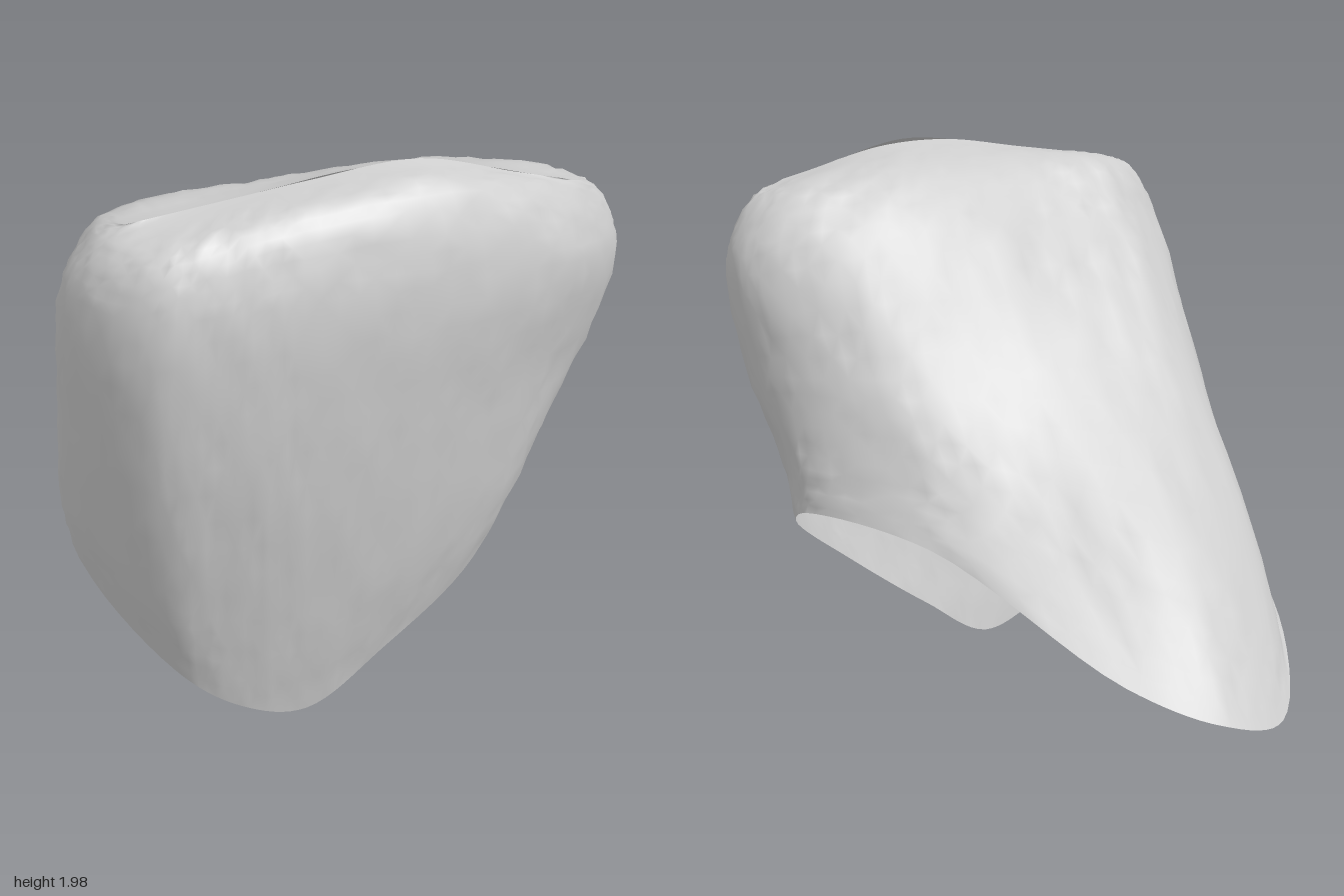
import * as THREE from 'three';

// Cross-section loops of the shell, counter-clockwise from the front centre: [x, y, z]
const RIM = [
  [-0.08, 0, 0.67], [0.18, 0.17, 0.56], [0.5, 0.43, 0.38], [0.71, 0.69, 0.0], [0.68, 0.75, -0.12], [0.3, 0.68, -0.4],
  [-0.22, 0.37, -0.92], [-0.5, 0.26, -1.0], [-0.75, 0.2, -0.87], [-0.91, 0.41, -0.36], [-0.87, 0.5, 0.43],
  [-0.52, 0.24, 0.74], [-0.3, 0.08, 0.745],
];
const WAIST = [
  [-0.07, 0.5, 0.77], [0.27, 0.6, 0.63], [0.6, 0.75, 0.41], [0.745, 0.88, 0.07], [0.67, 0.9, -0.11], [0.3, 0.85, -0.3],
  [-0.1, 0.75, -0.46], [-0.5, 0.6, -0.65], [-0.83, 0.54, -0.45], [-0.88, 0.7, 0.12], [-0.88, 0.75, 0.52],
  [-0.52, 0.6, 0.845], [-0.3, 0.53, 0.83],
];
const CHEST = [
  [-0.07, 1.2, 0.87], [0.3, 1.2, 0.7], [0.68, 1.2, 0.43], [0.855, 1.2, 0.16], [0.71, 1.2, -0.04], [0.4, 1.2, -0.15],
  [0.0, 1.2, -0.11], [-0.4, 1.2, 0.0], [-0.72, 1.2, 0.15], [-0.84, 1.2, 0.4], [-0.81, 1.2, 0.7],
  [-0.5, 1.2, 0.965], [-0.28, 1.2, 0.94],
];
const SHOULDER = [
  [-0.07, 1.7, 0.88], [0.35, 1.67, 0.7], [0.75, 1.62, 0.45], [0.91, 1.58, 0.22], [0.81, 1.6, 0.08], [0.45, 1.66, 0.05],
  [0.1, 1.68, 0.16], [-0.3, 1.68, 0.35], [-0.62, 1.68, 0.5], [-0.765, 1.68, 0.67], [-0.73, 1.7, 0.83],
  [-0.49, 1.7, 0.99], [-0.29, 1.7, 0.96],
];
const CROWN = [
  [-0.07, 1.91, 0.79], [0.3, 1.92, 0.63], [0.65, 1.84, 0.41], [0.83, 1.77, 0.25], [0.72, 1.8, 0.18], [0.4, 1.86, 0.24],
  [0.1, 1.9, 0.38], [-0.25, 1.91, 0.53], [-0.52, 1.9, 0.62], [-0.66, 1.87, 0.7], [-0.63, 1.86, 0.83],
  [-0.45, 1.86, 0.92], [-0.27, 1.89, 0.87],
];

// The top closes on a gently arched ridge line
const RIDGE = CROWN.map(([x0]) => {
  const x = x0 * 0.85;
  const drop = x < 0.22 ? 0.1 * (0.22 - x) : 0.3 * (x - 0.22);
  return [x, 1.99 - drop, 0.61 - 0.37 * x];
});

const AROUND = 104;
const ROWS = 30;

function seeded(seed) {
  return () => {
    seed = (seed * 16807) % 2147483647;
    return seed / 2147483647 - 0.5;
  };
}

// Loft a skin through the loops, with slight roughness away from the rim and ridge
function shellGeometry() {
  const toPoints = (loop) => loop.map((p) => new THREE.Vector3(...p));
  const loops = [RIM, WAIST, CHEST, SHOULDER, CROWN, RIDGE].map(
    (loop) => new THREE.CatmullRomCurve3(toPoints(loop), true, 'centripetal'));
  const random = seeded(71);
  const positions = [];
  const indices = [];

  for (let i = 0; i < AROUND; i++) {
    const column = new THREE.CatmullRomCurve3(loops.map((l) => l.getPoint(i / AROUND)), false, 'centripetal');
    for (let j = 0; j <= ROWS; j++) {
      const p = column.getPoint(j / ROWS);
      const rough = j > 0 && j < ROWS - 2 ? 0.009 : 0;
      positions.push(p.x + random() * rough, p.y + random() * rough, p.z + random() * rough);
    }
  }
  const at = (i, j) => (i % AROUND) * (ROWS + 1) + j;
  for (let i = 0; i < AROUND; i++) {
    for (let j = 0; j < ROWS; j++) {
      const a = at(i, j), b = at(i + 1, j), c = at(i + 1, j + 1), d = at(i, j + 1);
      if ((i + j) % 2) indices.push(a, b, c, a, c, d);
      else indices.push(a, b, d, b, c, d);
    }
  }
  const geometry = new THREE.BufferGeometry();
  geometry.setAttribute('position', new THREE.Float32BufferAttribute(positions, 3));
  geometry.setIndex(indices);
  geometry.computeVertexNormals();
  return geometry;
}

export function createModel() {
  const stone = new THREE.MeshStandardMaterial({ color: 0xcccccc, side: THREE.DoubleSide });
  stone.name = 'stone grey';

  const shell = new THREE.Mesh(shellGeometry(), stone);
  shell.name = 'stoneShell';

  const model = new THREE.Group();
  model.name = 'openStoneShell';
  model.add(shell);
  return model;
}
